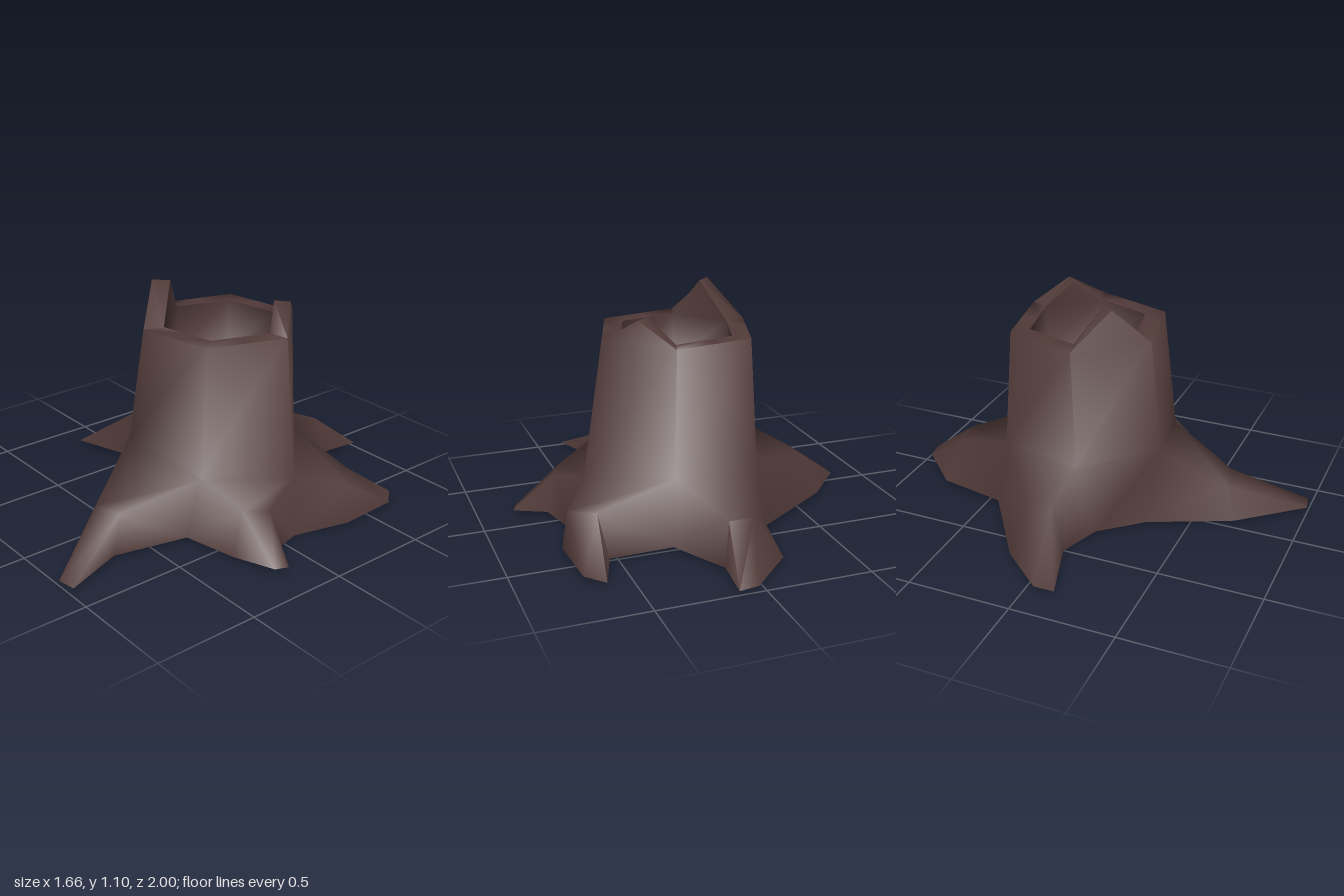
import * as THREE from 'three';
import { toCreasedNormals } from 'three/addons/utils/BufferGeometryUtils.js';

// Small face collector: triangles and quads, corners counter-clockwise from outside
function surface() {
  const pos = [];
  const tri = (a, b, c) => pos.push(...a, ...b, ...c);
  const quad = (a, b, c, d) => { tri(a, b, c); tri(a, c, d); };
  const mesh = (name, material, crease) => {
    const g = new THREE.BufferGeometry();
    g.setAttribute('position', new THREE.Float32BufferAttribute(pos, 3));
    const m = new THREE.Mesh(toCreasedNormals(g, crease), material);
    m.name = name;
    return m;
  };
  return { tri, quad, mesh };
}

const next = (i) => (i + 1) % 6;
const mix = (a, b, y) => [(a[0] + b[0]) / 2, y, (a[2] + b[2]) / 2];

// Six-sided rings [x, y, z], going clockwise as seen from above
const RIM = 0.92, G = 0.02;
const top = [[-0.185, -0.37], [0.195, -0.435], [0.455, -0.16], [0.33, 0.21], [-0.04, 0.28], [-0.295, -0.015]]
  .map(([x, z]) => [x, RIM, z]);
const inner = [[-0.12, -0.3], [0.17, -0.355], [0.36, -0.14], [0.265, 0.13], [-0.01, 0.185], [-0.2, -0.04]]
  .map(([x, z]) => [x, RIM, z]);
const flare = [[-0.21, 0.34, -0.4], [0.21, 0.32, -0.445], [0.55, 0.265, -0.14],
  [0.37, 0.31, 0.27], [-0.07, 0.39, 0.35], [-0.345, 0.36, 0.03]];
const base = [[-0.25, G, -0.44], [0.24, G, -0.51], [0.62, 0, -0.09],
  [0.345, G, 0.335], [-0.15, G, 0.31], [-0.32, G, 0.12]];

// Splintered peaks on two sides of the rim: side index -> height
const peaks = { 1: 1.03, 4: 1.1 };

// Roots by side: ground knee pair, ridge knee pair, tip pair (first is nearer corner i)
const roots = {
  0: { knee: [[-0.18, G, -0.775], [0.1, G, -0.78]], ridge: [[-0.06, 0.21, -0.72], [0.07, 0.22, -0.745]],
    tip: [[0.03, G, -0.985], [0.125, G, -1.0]] },
  1: { knee: [[0.545, G, -0.52], [0.715, G, -0.345]], ridge: [[0.58, 0.22, -0.46], [0.69, 0.205, -0.36]],
    tip: [[0.62, G, -0.735], [0.7, G, -0.645]] },
  2: { knee: [[0.68, G, 0.07], [0.61, G, 0.28]], ridge: [[0.64, 0.2, 0.09], [0.58, 0.21, 0.2]],
    tip: [[0.83, G, 0.145], [0.805, G, 0.205]] },
  3: { knee: [[0.265, G, 0.69], [0.03, G, 0.7]], ridge: [[0.22, 0.19, 0.62], [0.07, 0.18, 0.65]],
    tip: [[0.375, G, 0.98], [0.285, G, 0.995]] },
  5: { knee: [[-0.53, G, 0.045], [-0.65, G, -0.17]], ridge: [[-0.53, 0.25, -0.01], [-0.56, 0.235, -0.13]],
    tip: [[-0.835, G, 0.14], [-0.835, G, 0.04]] },
};

export function createModel() {
  const model = new THREE.Group();
  model.name = 'treeStump';
  // The shell is open at the ground, so its inside shows from below
  const wood = new THREE.MeshStandardMaterial({ color: 0x513b39, side: THREE.DoubleSide });
  wood.name = 'dark brown wood';

  const bark = surface(), hollow = surface();
  const floor = inner.map(([x, , z]) => [x, 0.7, z]);
  const floorCentre = [0.078, 0.68, -0.087];

  for (let i = 0; i < 6; i++) {
    const j = next(i);

    // Trunk wall
    bark.quad(flare[j], flare[i], top[i], top[j]);

    // Rim, with a raised wedge where there is a peak
    const h = peaks[i] ?? RIM;
    const mo = mix(top[i], top[j], h), mi = mix(inner[i], inner[j], h);
    if (peaks[i]) {
      bark.tri(top[j], top[i], mo);
      hollow.tri(inner[i], inner[j], mi);
    }
    bark.quad(mo, top[i], inner[i], mi);
    bark.quad(top[j], mo, mi, inner[j]);

    // Hollow wall and floor
    hollow.quad(floor[i], floor[j], inner[j], inner[i]);
    hollow.tri(floor[j], floor[i], floorCentre);

    const r = roots[i];
    if (!r) {
      bark.quad(base[j], base[i], flare[i], flare[j]);
      continue;
    }
    // Root: two flanks and a ridge on top
    const [ka, kb] = r.knee, [ra, rb] = r.ridge, [ta, tb] = r.tip;
    bark.quad(base[i], flare[i], ra, ka);
    bark.tri(ka, ra, ta);
    bark.quad(base[j], kb, rb, flare[j]);
    bark.tri(kb, tb, rb);
    bark.quad(rb, ra, flare[i], flare[j]);
    bark.quad(tb, ta, ra, rb);
  }

  model.add(
    bark.mesh('trunkAndRoots', wood, 1.7),
    hollow.mesh('hollow', wood, 1.7),
  );
  return model;
}
